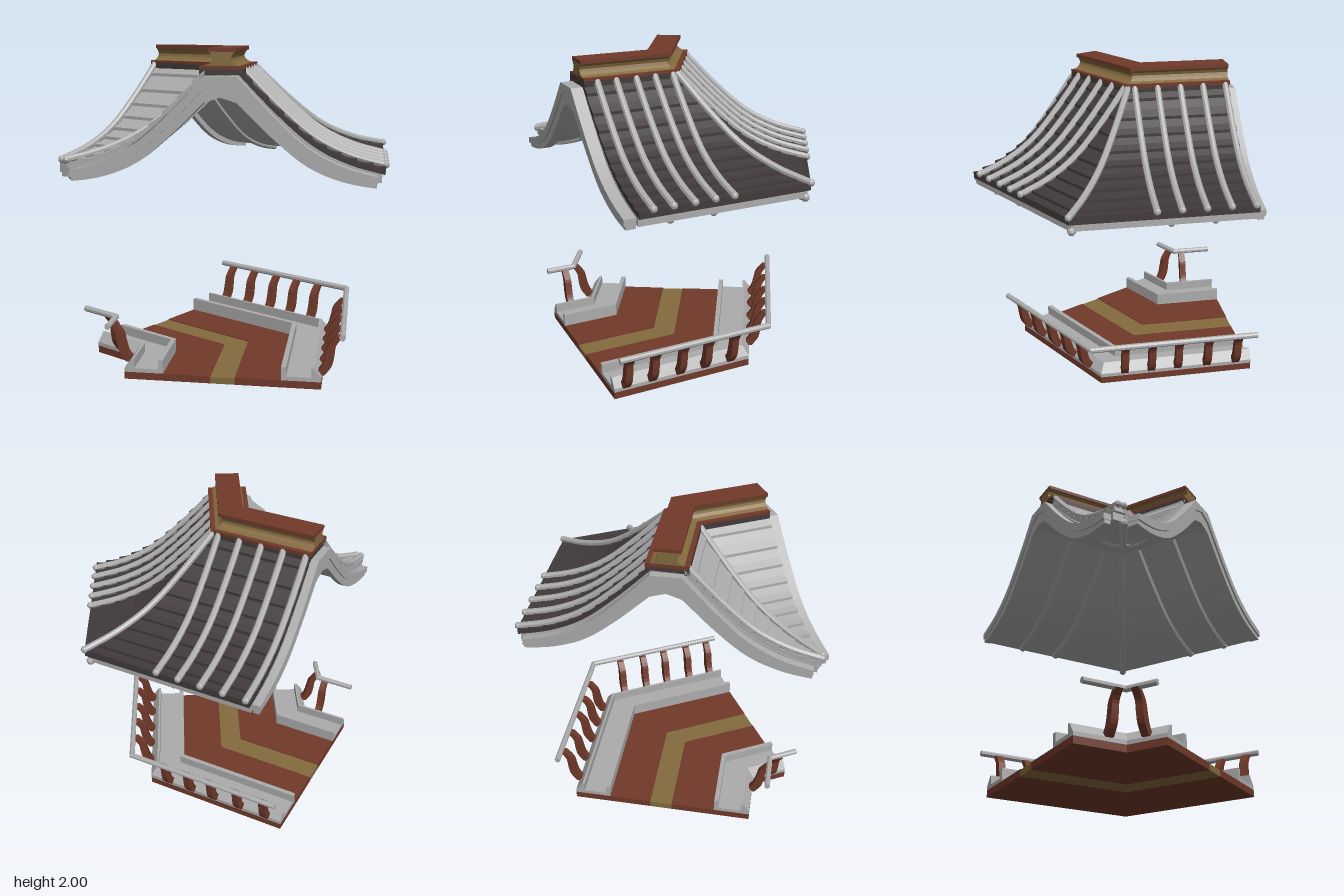
import * as THREE from 'three';

const mat = (name, color) => {
  const m = new THREE.MeshStandardMaterial({ color, flatShading: true });
  m.name = name;
  return m;
};

export function createModel() {
  const root = new THREE.Group();
  root.name = 'coveredBridgeCorner';
  const brown = mat('redBrownWood', 0x70392a);
  const gold = mat('ochreWood', 0x846a3e);
  const grey = mat('paleGrey', 0xacacac);
  const dark = mat('darkTile', 0x413a3a);

  // Two arms meet at a 60 degree bend: u runs across, w along the arm from the bend.
  const K = Math.tan(Math.PI / 6), S = Math.sin(Math.PI / 3);
  const CX = 0.015, CZ = 0.255;
  const armA = w => ([u, y]) => new THREE.Vector3(CX + u, y, CZ + w);
  const armB = w => ([u, y]) =>
    new THREE.Vector3(CX + 0.5 * u - S * w, y, CZ - S * u - 0.5 * w);
  const mitre = ([u, y]) => new THREE.Vector3(CX + u, y, CZ - K * u);

  const add = (name, geo, material) => {
    const m = new THREE.Mesh(geo, material);
    m.name = name;
    root.add(m);
    return m;
  };

  // Sweeps a counter-clockwise (u, y) outline through sections and caps both ends.
  function sweep(name, outline, sections, material) {
    const pos = [], n = outline.length;
    const rings = sections.map(s => outline.map(s));
    const tri = (...v) => v.forEach(p => pos.push(p.x, p.y, p.z));
    for (let k = 0; k < rings.length - 1; k++) {
      const P = rings[k], Q = rings[k + 1];
      for (let i = 0; i < n; i++) {
        const j = (i + 1) % n;
        tri(P[i], Q[i], Q[j]);
        tri(P[i], Q[j], P[j]);
      }
    }
    const first = rings[0], last = rings[rings.length - 1];
    const faces = THREE.ShapeUtils.triangulateShape(
      outline.map(p => new THREE.Vector2(p[0], p[1])), []);
    for (const [a, b, c] of faces) {
      tri(first[a], first[b], first[c]);
      tri(last[a], last[c], last[b]);
    }
    const g = new THREE.BufferGeometry();
    g.setAttribute('position', new THREE.Float32BufferAttribute(pos, 3));
    g.computeVertexNormals();
    return add(name, g, material);
  }
  const bend = (wa, wb) => [armA(wa), mitre, armB(wb)];
  const slice = (arm, w0, w1) => arm === armA ? [armA(w1), armA(w0)] : [armB(w0), armB(w1)];
  const mirror = o => o.map(([u, y]) => [-u, y]).reverse();
  const rect = (u0, u1, y0, y1) => [[u0, y0], [u1, y0], [u1, y1], [u0, y1]];

  // Deck with an ochre walkway strip
  const deck = bend(0.595, 0.68);
  sweep('deckOuter', rect(0.08, 0.6, 0, 0.045), deck, brown);
  sweep('deckInner', rect(-0.6, -0.07, 0, 0.045), deck, brown);
  sweep('deckStrip', rect(-0.07, 0.08, 0, 0.04), deck, gold);

  // Channel-shaped kerbs along both sides
  const kerb = [[0.36, 0.045], [0.6, 0.045], [0.6, 0.07], [0.555, 0.13], [0.54, 0.13],
    [0.54, 0.07], [0.39, 0.07], [0.39, 0.13], [0.36, 0.13]];
  sweep('kerbOuter', kerb, deck, grey);
  sweep('kerbInner', mirror(kerb), deck, grey);

  // Handrails
  const ring = (u, y, r) => Array.from({ length: 8 }, (_, i) => {
    const a = (i + 0.5) * Math.PI / 4;
    return [u + r * Math.cos(a), y + r * Math.sin(a)];
  });
  sweep('handrailOuter', ring(0.72, 0.328, 0.019), bend(0.6, 0.687), grey);
  sweep('handrailInner', ring(-0.7, 0.328, 0.019), bend(0.6, 0.68), grey);

  // S-curved balusters leaning outward
  const spine = new THREE.SplineCurve([[0.585, 0.07], [0.63, 0.13], [0.648, 0.2],
    [0.66, 0.26], [0.705, 0.318]].map(p => new THREE.Vector2(...p))).getPoints(12);
  const baluster = [
    ...spine.map((p, i) => [p.x + 0.032 - i * 0.001, p.y]),
    ...spine.map((p, i) => [p.x - 0.032 + i * 0.001, p.y]).reverse()];
  const posts = (arm, list, outline) => list.forEach(w =>
    sweep('baluster', outline, slice(arm, w - 0.023, w + 0.023), brown));
  posts(armA, [0.52, 0.345, 0.155, -0.02, -0.205], baluster);
  posts(armB, [0.57, 0.37, 0.17, -0.01, -0.19], baluster);
  posts(armA, [0.47], mirror(baluster));
  posts(armB, [0.46], mirror(baluster));

  // Sagging roof curve, t = 0 at the ridge and 1 at the eave
  const curve = new THREE.SplineCurve([[0.1, 1.88], [0.31, 1.665], [0.52, 1.485],
    [0.73, 1.38], [0.94, 1.325]].map(p => new THREE.Vector2(...p)));
  const roof = (t, dy = 0, k = 1) => {
    const p = curve.getPoint(t);
    return [p.x * k, p.y + dy];
  };
  const steps = n => Array.from({ length: n + 1 }, (_, i) => i / n);

  // Stepped tile courses, dark outside the bend and pale inside
  const under = steps(20).map(t => roof(t, -0.032));
  const courses = [];
  const N = 10;
  for (let i = 0; i < N; i++) {
    courses.push(roof(i / N, -0.006), roof((i + 0.5) / N, 0.001), roof((i + 0.995) / N, 0.012));
  }
  const tiles = [...under, ...courses.reverse()];
  sweep('tilesOuter', tiles, bend(0.545, 0.6), dark);
  sweep('tilesInner', mirror(tiles), bend(0.545, 0.6), grey);
  sweep('ridgeBed', rect(-0.13, 0.13, 1.835, 1.885), bend(0.545, 0.6), dark);

  // Symmetric band under the tiles, from dyTop down to a sagging lower edge
  function band(top, low, grow, apex, k) {
    const right = steps(20).map(t => roof(t, low + grow * (1 - t), k));
    const upper = steps(20).map(t => roof(t, top, k));
    return [...mirror(right), [0, apex], ...right, ...upper.slice().reverse(),
      ...upper.map(([u, y]) => [-u, y])];
  }
  sweep('roofLining', band(-0.03, -0.08, -0.06, 1.77, 0.98), bend(0.545, 0.6), grey);

  // Two-tier bargeboards on both gable ends
  const boardTop = band(-0.035, -0.075, -0.035, 1.805, 0.955);
  const boardLow = band(-0.06, -0.1, -0.085, 1.725, 0.95);
  sweep('bargeboardFront', boardTop, slice(armA, 0.545, 0.62), grey);
  sweep('bargeboardFrontLower', boardLow, slice(armA, 0.545, 0.608), grey);
  sweep('bargeboardBack', boardTop, slice(armB, 0.6, 0.65), grey);
  sweep('bargeboardBackLower', boardLow, slice(armB, 0.6, 0.64), grey);

  // Ridge beam below and moulded ridge cap above
  sweep('ridgeBeam', ring(0, 1.745, 0.025), bend(0.6, 0.63), grey);
  const ridge = bend(0.545, 0.605);
  sweep('ridgeBase', rect(-0.13, 0.13, 1.875, 1.9), ridge, brown);
  const waist = [[0.1, 1.9], [0.075, 1.91], [0.058, 1.927], [0.053, 1.943],
    [0.06, 1.962], [0.075, 1.98]];
  sweep('ridgeWaist', [...waist, ...mirror(waist)], ridge, gold);
  sweep('ridgeTop', rect(-0.08, 0.08, 1.978, 2), ridge, brown);

  // Round members that follow the roof curve
  function rod(name, section, side, t0, t1, lift, slope, r, sides) {
    const pts = steps(14).map(s => {
      const t = t0 + (t1 - t0) * s;
      const [u, y] = roof(t, lift + slope * (1 - t));
      return section([side * u, y]);
    });
    const path = new THREE.CatmullRomCurve3(pts);
    add(name, new THREE.TubeGeometry(path, 28, r, sides), grey);
    const cap = add(name + 'End', new THREE.SphereGeometry(r * 1.12, 8, 6), grey);
    cap.position.copy(pts[pts.length - 1]);
  }
  const rib = (section, side) => rod('roofRib', section, side, 0.03, 1, 0.016, 0, 0.021, 8);
  [-0.035, 0.085, 0.21, 0.34, 0.46].forEach(w => rib(armA(w), 1));
  [-0.025, 0.125, 0.275, 0.425, 0.575].forEach(w => rib(armB(w), 1));
  rib(mitre, 1);
  rib(mitre, -1);
  rib(armB(0.58), -1);

  // Rafters on the underside
  const rafter = (section, side, t1) =>
    rod('rafter', section, side, 0, t1, -0.085, -0.06, 0.024, 6);
  for (const arm of [armA, armB]) {
    rafter(arm(0.07), 1, 0.92);
    rafter(arm(0.34), 1, 0.92);
    rafter(arm(0.34), -1, 0.55);
  }
  rafter(mitre, 1, 0.95);
  rafter(mitre, -1, 0.95);

  return root;
}
